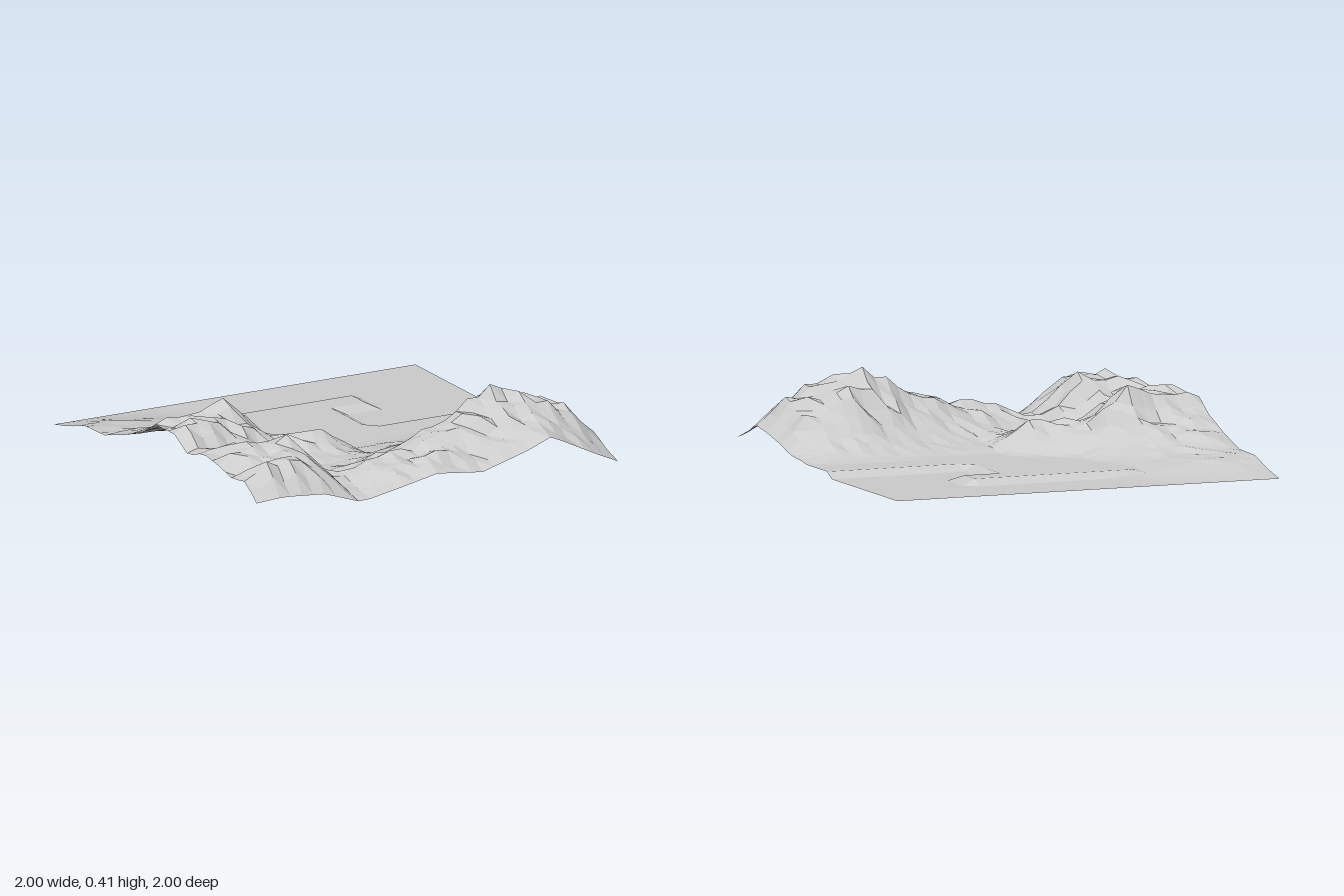
import * as THREE from 'three';

// Cross-sections of the hills from back to front: z, then heights at each column x
// (columns left out at the end hold no hill)
const columns = [-1, -0.85, -0.62, -0.42, -0.2, 0, 0.25, 0.5, 0.63, 0.87, 1];
const sections = [
  { z: -1, h: [] },
  { z: -0.85, h: [0.03, 0.04, 0.02] },
  { z: -0.7, h: [0.075, 0.075, 0.05, 0.015] },
  { z: -0.5, h: [0.08, 0.085, 0.06, 0.03] },
  { z: -0.32, h: [0.13, 0.14, 0.1, 0.04] },
  { z: -0.12, h: [0.2, 0.2, 0.19, 0.08] },
  { z: 0, h: [0.27, 0.28, 0.34, 0.13, 0.06] },
  { z: 0.19, h: [0.27, 0.31, 0.23, 0.16, 0.17, 0.05, 0.05, 0.06, 0.07, 0.06, 0.04] },
  { z: 0.33, h: [0.2, 0.21, 0.15, 0.08, 0.11, 0.06, 0.08, 0.12, 0.15, 0.12, 0.05] },
  { z: 0.47, h: [0.25, 0.27, 0.21, 0.08, 0.08, 0.11, 0.16, 0.27, 0.32, 0.23, 0.09] },
  { z: 0.62, h: [0.23, 0.3, 0.31, 0.1, 0.14, 0.18, 0.27, 0.42, 0.35, 0.27, 0.12] },
  { z: 0.76, h: [0.2, 0.24, 0.28, 0.1, 0.19, 0.2, 0.24, 0.32, 0.35, 0.25, 0.14] },
  { z: 0.89, h: [0.22, 0.3, 0.24, 0.08, 0.16, 0.2, 0.17, 0.22, 0.27, 0.17, 0.08] },
  { z: 1, h: [0.14, 0.15, 0.13, 0.06, 0.1, 0.14, 0.11, 0.18, 0.23, 0.11, 0.05] },
];
const rows = sections.map((s) => s.z);

// Interval of a sorted list holding v, and the fraction along it
function locate(list, v) {
  let i = 0;
  while (i < list.length - 2 && v > list[i + 1]) i++;
  return [i, THREE.MathUtils.clamp((v - list[i]) / (list[i + 1] - list[i]), 0, 1)];
}

// Hill height between the cross-sections
function hillHeight(x, z) {
  const [i, u] = locate(columns, x);
  const [j, v] = locate(rows, z);
  const at = (r, c) => sections[r].h[c] ?? 0;
  const { lerp } = THREE.MathUtils;
  return lerp(lerp(at(j, i), at(j, i + 1), u), lerp(at(j + 1, i), at(j + 1, i + 1), u), v);
}

// Low plateau, a step above the flat back right corner
function plateauHeight(x, z) {
  const tongue = z > -0.64 && x < (z < -0.48 ? 0.45 : 0.28) && x > -0.4;
  return tongue || z > -0.14 ? 0.03 : 0;
}

// Seeded random numbers from -1 to 1
function seeded(seed) {
  return () => {
    seed = (seed * 16807) % 2147483647;
    return (seed / 2147483647) * 2 - 1;
  };
}

export function createModel() {
  const group = new THREE.Group();
  group.name = 'mountainLandscape';

  // Square sheet, then every corner lifted; rock gets rougher with height
  const geometry = new THREE.PlaneGeometry(2, 2, 32, 32).rotateX(-Math.PI / 2).rotateY(Math.PI / 2);
  const position = geometry.attributes.position;
  const random = seeded(41);
  for (let i = 0; i < position.count; i++) {
    const x = position.getX(i);
    const z = position.getZ(i);
    const h = Math.max(hillHeight(x, z), plateauHeight(x, z));
    const onEdge = Math.max(Math.abs(x), Math.abs(z)) > 0.99;
    const rough = onEdge ? 0 : 0.17 * Math.max(0, Math.min(h, 0.2) - 0.04);
    position.setY(i, h + rough * random());
  }
  geometry.computeVertexNormals();

  const terrain = new THREE.Mesh(
    geometry,
    new THREE.MeshStandardMaterial({ color: 0xcccccc, flatShading: true, side: THREE.DoubleSide })
  );
  terrain.name = 'terrain';
  group.add(terrain);
  return group;
}
